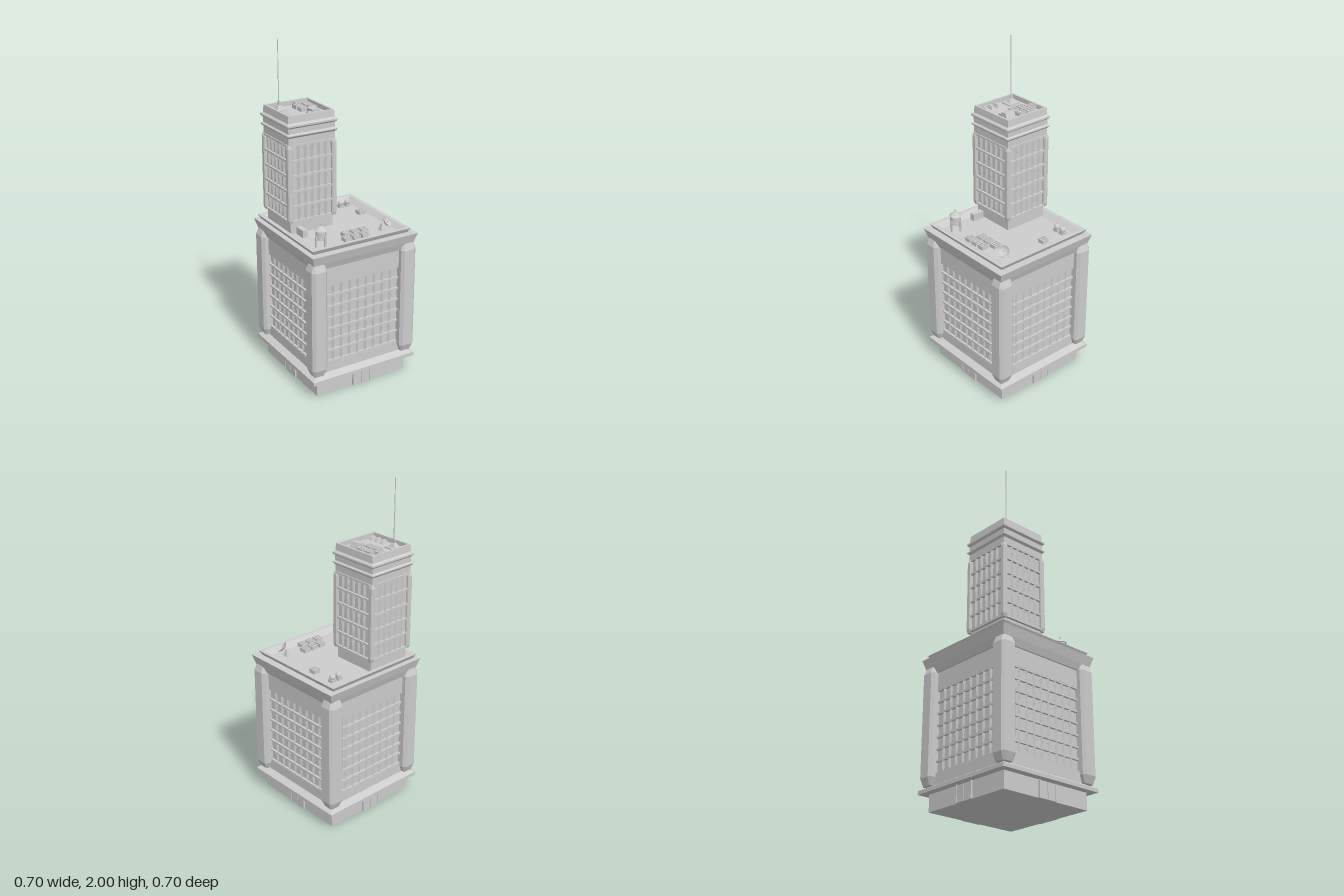
import * as THREE from 'three';
import { mergeGeometries } from 'three/addons/utils/BufferGeometryUtils.js';

const stone = new THREE.MeshStandardMaterial({ color: 0xcccccc });
stone.name = 'pale grey';
const stoneOpen = new THREE.MeshStandardMaterial({ color: 0xcccccc, side: THREE.DoubleSide });
stoneOpen.name = 'pale grey two-sided';

const box = (w, h, d) => new THREE.BoxGeometry(w, h, d);

// Hard-edged copy of a geometry
function faceted(geo) {
  const g = geo.index ? geo.toNonIndexed() : geo;
  g.computeVertexNormals();
  return g;
}

function add(parent, name, geo, x = 0, y = 0, z = 0, mat = stone) {
  const mesh = new THREE.Mesh(geo, mat);
  mesh.name = name;
  mesh.position.set(x, y, z);
  parent.add(mesh);
  return mesh;
}

// Square solid from [half width, y] pairs, bottom to top
function squareProfile(pairs) {
  const pts = pairs.map(([r, y]) => new THREE.Vector2(r * Math.SQRT2, y));
  return faceted(new THREE.LatheGeometry(pts, 4, Math.PI / 4));
}

// Square-section pier with chamfered edges and tapered ends
function pierGeometry(half, chamfer, height, taper) {
  const a = half, b = half - chamfer;
  const shape = new THREE.Shape([[a, -b], [a, b], [b, a], [-b, a], [-a, b], [-a, -b], [-b, -a], [b, -a]]
    .map(([x, y]) => new THREE.Vector2(x, y)));
  const g = new THREE.ExtrudeGeometry(shape, {
    depth: height - 2 * taper, bevelThickness: taper, bevelSize: chamfer, bevelOffset: -chamfer, bevelSegments: 1,
  });
  return g.rotateX(-Math.PI / 2).translate(0, taper, 0);
}

// Window grid of sills and pointed mullions on one face, facing +z
function windowGrid(width, y0, rows, rowH, cols, z, rib) {
  const parts = [];
  for (let r = 0; r <= rows; r++) {
    parts.push(box(width, 0.012, 0.018).translate(0, y0 + r * rowH, z + 0.005).toNonIndexed());
  }
  for (let r = 0; r < rows; r++) {
    for (let c = 1; c < cols; c++) {
      const g = faceted(new THREE.CylinderGeometry(rib, rib * 0.6, rowH, 4));
      parts.push(g.translate((c / cols - 0.5) * width, y0 + (r + 0.5) * rowH, z + 0.004));
    }
  }
  return mergeGeometries(parts);
}

function onFourSides(parent, build) {
  for (let i = 0; i < 4; i++) {
    const side = new THREE.Group();
    side.name = 'facade' + (i + 1);
    side.rotation.y = i * Math.PI / 2;
    build(side);
    parent.add(side);
  }
}

function onFourCorners(parent, name, geo, d, y) {
  for (const sx of [-1, 1]) for (const sz of [-1, 1]) add(parent, name, geo, sx * d, y, sz * d);
}

// Rooftop vent with a 2 x 3 grating
function ventUnit(parent, x, y, z) {
  const unit = new THREE.Group();
  unit.name = 'ventUnit';
  unit.position.set(x, y, z);
  add(unit, 'ventBody', box(0.042, 0.018, 0.045), 0, 0.009, 0);
  for (const i of [-1, 0, 1]) add(unit, 'ventBar', box(0.005, 0.006, 0.048), i * 0.02, 0.021, 0);
  for (let j = 0; j < 4; j++) add(unit, 'ventCrossBar', box(0.045, 0.006, 0.004), 0, 0.021, -0.022 + j * 0.0147);
  parent.add(unit);
}

function waterTank(parent, x, y, z) {
  const tank = new THREE.Group();
  tank.name = 'waterTank';
  tank.position.set(x, y, z);
  tank.rotation.y = 0.2;
  add(tank, 'tankBody', new THREE.CylinderGeometry(0.031, 0.031, 0.055, 16), 0, 0.067, 0);
  add(tank, 'tankRoof', new THREE.ConeGeometry(0.038, 0.03, 16), 0, 0.109, 0);
  add(tank, 'tankFinial', new THREE.CylinderGeometry(0.004, 0.004, 0.018, 8), 0, 0.126, 0);
  add(tank, 'tankHoop', new THREE.CylinderGeometry(0.034, 0.034, 0.005, 16), 0, 0.05, 0);
  for (let i = 0; i < 4; i++) {
    const a = i * Math.PI / 2;
    add(tank, 'tankLeg', box(0.009, 0.065, 0.009), 0.036 * Math.cos(a), 0.0325, 0.036 * Math.sin(a));
  }
  parent.add(tank);
}

function dishAntenna(parent, x, y, z) {
  const dish = new THREE.Group();
  dish.name = 'dishAntenna';
  dish.position.set(x, y, z);
  dish.rotation.y = Math.PI / 4;
  add(dish, 'dishStand', faceted(new THREE.CylinderGeometry(0.008, 0.026, 0.04, 4)), 0, 0.02, -0.018);
  const head = new THREE.Group();
  head.name = 'dishHead';
  head.position.set(0, 0.04, 0);
  head.rotation.x = 0.8;
  const bowl = [[0, 0], [0.014, 0.002], [0.025, 0.008], [0.034, 0.018]].map(p => new THREE.Vector2(...p));
  add(head, 'dishBowl', new THREE.LatheGeometry(bowl, 20), 0, 0, 0, stoneOpen);
  add(head, 'dishFeed', new THREE.CylinderGeometry(0.0015, 0.0015, 0.03, 6), 0, 0.015, 0);
  dish.add(head);
  parent.add(dish);
}

function buildLowerBlock(root) {
  const block = new THREE.Group();
  block.name = 'lowerBlock';
  root.add(block);

  // Plinth and ledge
  add(block, 'plinth', box(0.61, 0.1, 0.61), 0, 0.05, 0);
  add(block, 'ledge', squareProfile([[0, 0.1], [0.35, 0.1], [0.35, 0.122], [0.31, 0.143], [0, 0.143]]));
  // Walls and flared cornice
  add(block, 'wallCore', box(0.59, 0.7, 0.59), 0, 0.49, 0);
  add(block, 'cornice', squareProfile([[0, 0.81], [0.32, 0.81], [0.336, 0.852], [0.352, 0.905], [0, 0.905]]));
  // Parapet with sloping inner faces, set slightly off centre
  add(block, 'parapet', squareProfile([[0.312, 0.903], [0.328, 0.932], [0.304, 0.932], [0.273, 0.906], [0, 0.906]]),
    -0.007, 0, -0.007);

  onFourCorners(block, 'cornerPier', pierGeometry(0.05, 0.017, 0.71, 0.045), 0.3, 0.143);
  onFourSides(block, side => {
    add(side, 'upperWallBand', box(0.52, 0.11, 0.02), 0, 0.757, 0.3);
    add(side, 'lowerWallBand', box(0.52, 0.063, 0.02), 0, 0.173, 0.3);
    add(side, 'windowGrid', windowGrid(0.5, 0.206, 7, 0.0706, 9, 0.295, 0.011));
    for (const s of [-1, 1]) {
      add(side, 'doorLeaf', box(0.054, 0.096, 0.012), s * 0.029, 0.048, 0.307);
      add(side, 'doorJamb', box(0.006, 0.1, 0.02), s * 0.059, 0.05, 0.307);
    }
  });
}

function buildUpperTower(root) {
  const tower = new THREE.Group();
  tower.name = 'upperTower';
  tower.position.set(-0.148, 0, -0.15);
  root.add(tower);

  add(tower, 'towerBase', box(0.28, 0.09, 0.28), 0, 0.94, 0);
  add(tower, 'towerCore', box(0.284, 0.48, 0.284), 0, 1.22, 0);
  onFourCorners(tower, 'towerPier', pierGeometry(0.016, 0.006, 0.47, 0.02), 0.144, 0.975);
  onFourSides(tower, side => {
    add(side, 'windowGrid', windowGrid(0.265, 0.985, 5, 0.091, 6, 0.142, 0.012));
  });
  // Stepped mouldings and sunken roof
  add(tower, 'crown', squareProfile([
    [0.142, 1.44], [0.15, 1.44], [0.15, 1.485], [0.161, 1.497], [0.161, 1.503], [0.151, 1.51], [0.151, 1.54],
    [0.162, 1.55], [0.162, 1.56], [0.15, 1.57], [0.147, 1.612], [0.135, 1.612], [0.135, 1.585], [0, 1.585],
  ]));
}

function buildRoofFittings(root) {
  const low = 0.906, high = 1.585;
  const roof = new THREE.Group();
  roof.name = 'roofFittings';
  root.add(roof);

  // Lower roof
  for (const [x, z] of [[-0.028, 0.172], [0.031, 0.172], [0.09, 0.172], [-0.061, 0.233], [-0.003, 0.233],
    [0.056, 0.233], [0.229, -0.075]]) ventUnit(roof, x, low, z);
  waterTank(roof, -0.22, low, 0.215);
  dishAntenna(roof, 0.215, low, 0.215);
  for (const x of [0.183, 0.231]) {
    add(roof, 'domeBase', box(0.034, 0.016, 0.034), x, low + 0.008, -0.228);
    add(roof, 'dome', new THREE.SphereGeometry(0.018, 16, 12), x, low + 0.026, -0.228);
  }
  add(roof, 'stairHouse', box(0.032, 0.045, 0.075), -0.24, low + 0.022, 0.036);

  // Tower roof
  for (const [x, z] of [[-0.094, -0.258], [-0.122, -0.21], [-0.062, -0.21], [-0.122, -0.15], [-0.062, -0.15]]) {
    ventUnit(roof, x, high, z);
  }
  const wedge = new THREE.Shape([[-0.113, 0], [-0.06, 0], [-0.075, 0.034], [-0.113, 0.028]]
    .map(p => new THREE.Vector2(...p)));
  add(roof, 'machineHouse', new THREE.ExtrudeGeometry(wedge, { depth: 0.064, bevelEnabled: false }), 0, high, -0.113);
  add(roof, 'machineDuct', box(0.03, 0.016, 0.02), -0.127, high + 0.008, -0.063);
  for (const z of [-0.132, -0.088, -0.044]) {
    const hood = add(roof, 'skylight', squareProfile([[0.5, 0], [0.3, 1], [0, 1]]), -0.248, high, z);
    hood.scale.set(0.048, 0.02, 0.026);
  }

  // Mast
  add(roof, 'mastSlab', box(0.07, 0.008, 0.08), -0.233, high + 0.004, -0.227);
  const foot = add(roof, 'mastFoot', squareProfile([[0.5, 0], [0.25, 1], [0, 1]]), -0.233, high + 0.008, -0.227);
  foot.scale.set(0.042, 0.022, 0.05);
  add(roof, 'mastSocket', box(0.009, 0.03, 0.014), -0.233, high + 0.04, -0.227);
  add(roof, 'mast', new THREE.CylinderGeometry(0.002, 0.0035, 0.4, 8), -0.233, 1.8, -0.227);
}

export function createModel() {
  const root = new THREE.Group();
  root.name = 'officeTower';
  buildLowerBlock(root);
  buildUpperTower(root);
  buildRoofFittings(root);
  return root;
}
